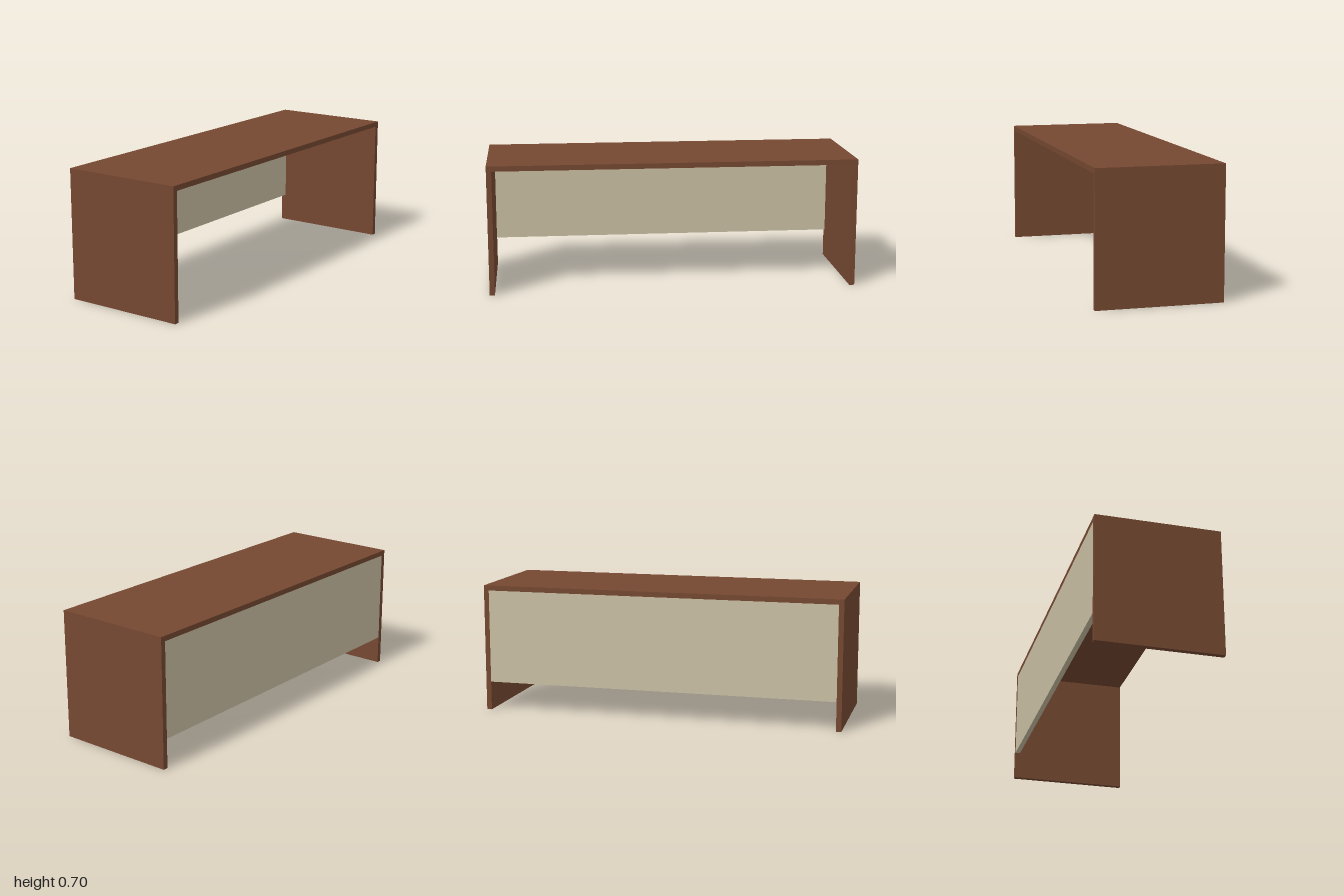
import * as THREE from 'three';

const WIDTH = 2, HEIGHT = 0.705, DEPTH = 0.67, BOARD = 0.028;

export function createModel() {
  const desk = new THREE.Group();
  desk.name = 'desk';
  const wood = new THREE.MeshStandardMaterial({ color: 0x754831 });
  const cream = new THREE.MeshStandardMaterial({ color: 0xcbc0a4 });

  // Adds a board of the given size, centred at the given point
  function board(name, size, position, material) {
    const mesh = new THREE.Mesh(new THREE.BoxGeometry(...size), material);
    mesh.name = name;
    mesh.position.set(...position);
    desk.add(mesh);
  }

  // Top, resting on the two side panels
  board('deskTop', [WIDTH, BOARD, DEPTH], [0, HEIGHT - BOARD / 2, 0], wood);

  // Side panels
  const sideHeight = HEIGHT - BOARD;
  for (const [name, side] of [['leftSide', 1], ['rightSide', -1]]) {
    board(name, [BOARD, sideHeight, DEPTH], [side * (WIDTH - BOARD) / 2, sideHeight / 2, 0], wood);
  }

  // Back panel between the sides, flush with their rear edges, open below
  const bottom = 0.16, panelHeight = sideHeight - bottom;
  board('backPanel', [WIDTH - 2 * BOARD, panelHeight, BOARD],
    [0, bottom + panelHeight / 2, -(DEPTH - BOARD) / 2], cream);

  return desk;
}
